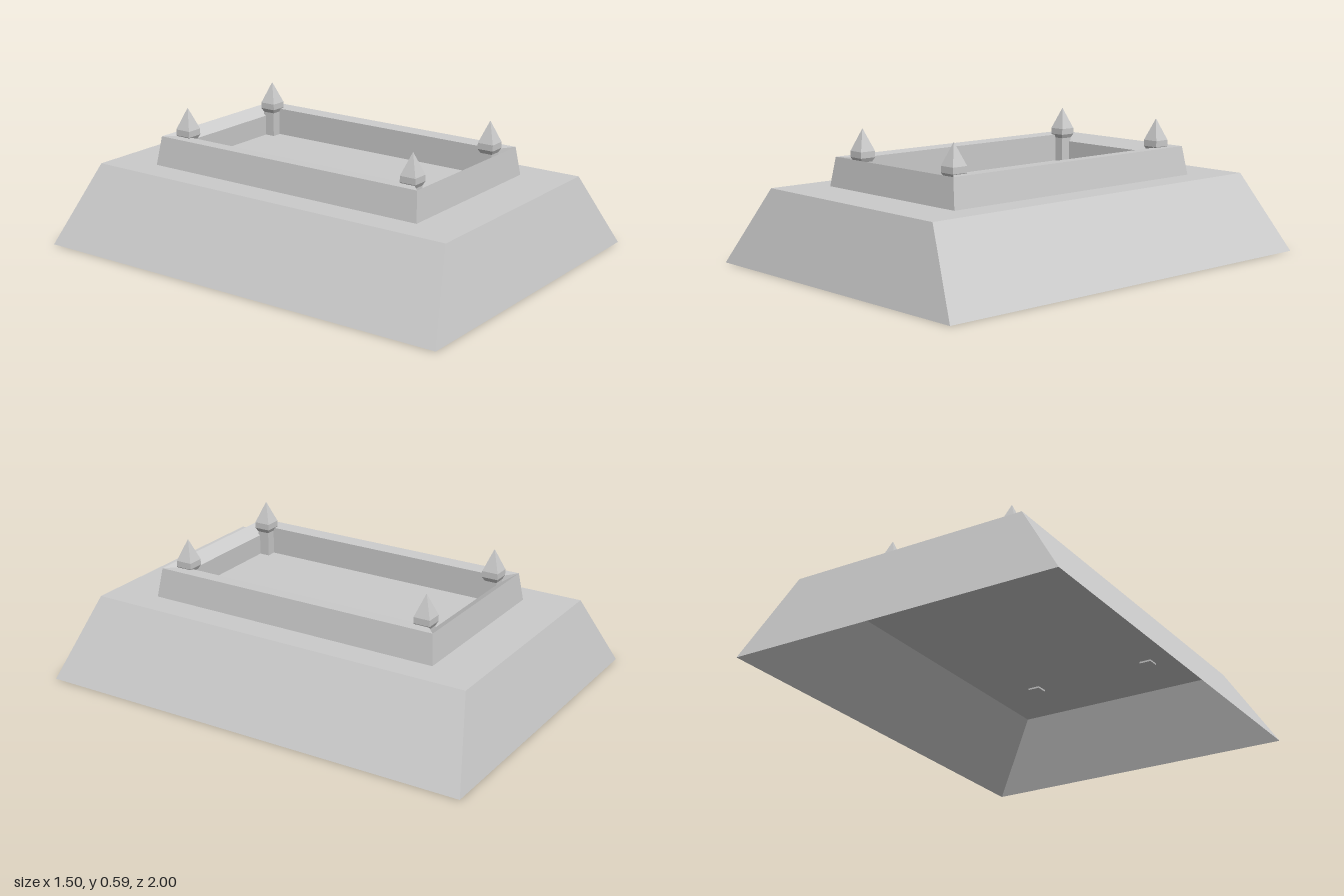
import * as THREE from 'three';

const stone = new THREE.MeshStandardMaterial({ color: 0xcccccc, side: THREE.DoubleSide });
stone.name = 'lightGreyStone';

// Flat-faced skin between four-cornered rings, with optional end caps
function loft(rings, capStart, capEnd) {
  const pos = [];
  const quad = (a, b, c, d) => pos.push(...a, ...b, ...c, ...a, ...c, ...d);
  for (let r = 0; r < rings.length - 1; r++) {
    const a = rings[r], b = rings[r + 1];
    for (let i = 0; i < 4; i++) {
      const j = (i + 1) % 4;
      quad(a[i], a[j], b[j], b[i]);
    }
  }
  if (capStart) quad(...[...rings[0]].reverse());
  if (capEnd) quad(...rings[rings.length - 1]);
  const g = new THREE.BufferGeometry();
  g.setAttribute('position', new THREE.Float32BufferAttribute(pos, 3));
  g.computeVertexNormals();
  return g;
}

const rect = (hx, hz, y) => [[hx, y, hz], [hx, y, -hz], [-hx, y, -hz], [-hx, y, hz]];

export function createModel() {
  const model = new THREE.Group();
  const add = (name, geometry) => {
    const mesh = new THREE.Mesh(geometry, stone);
    mesh.name = name;
    model.add(mesh);
    return mesh;
  };

  // Sloping plinth, hollow and open underneath
  add('plinth', loft([rect(0.75, 1, 0), rect(0.535, 0.9, 0.34)], false, true));

  // Raised rim: mitred rails, section runs outer foot, outer top, inner lip, inner foot
  const section = (lip) => [
    [0.408, 0.34, 0.685], [0.385, 0.468, 0.67], [0.315, lip, 0.61], [0.315, 0.34, 0.61],
  ];
  const mirrored = (points, sx, sz) => points.map(([x, y, z]) => [x * sx, y, z * sz]);
  const side = section(0.464), end = section(0.432);
  const sideRail = loft([mirrored(side, 1, -1), side], true, true);
  const endRail = loft([end, mirrored(end, -1, 1)], true, true);
  add('leftRail', sideRail);
  add('rightRail', sideRail).rotation.y = Math.PI;
  add('frontRail', endRail);
  add('backRail', endRail).rotation.y = Math.PI;

  // Square corner posts with pointed caps
  const profile = [[0.028, 0.332], [0.028, 0.45], [0.037, 0.468], [0.037, 0.495], [0.0005, 0.59]];
  const post = loft(profile.map(([h, y]) => rect(h, h, y)), true, true);
  for (const [sx, xName] of [[1, 'Left'], [-1, 'Right']]) {
    for (const [sz, zName] of [[1, 'front'], [-1, 'back']]) {
      add(`${zName}${xName}Post`, post).position.set(0.298 * sx, 0, 0.592 * sz);
    }
  }
  return model;
}
